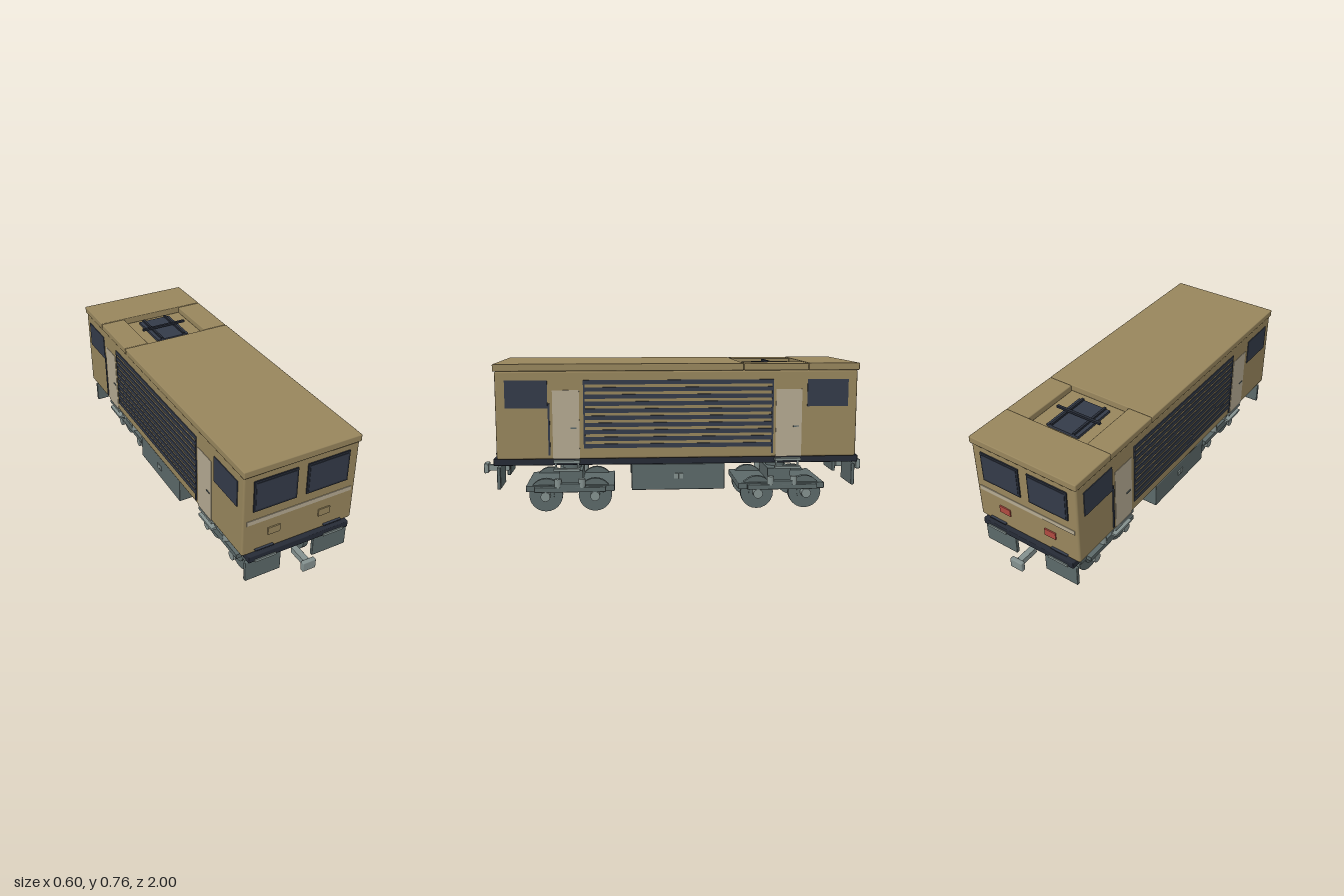
import * as THREE from 'three';
import { RoundedBoxGeometry } from 'three/addons/geometries/RoundedBoxGeometry.js';

const mat = (name, color) => Object.assign(new THREE.MeshStandardMaterial({ color }), { name });

export function createModel() {
  const tan = mat('bodyTan', 0x98865d);
  const cream = mat('doorCream', 0xb5aa92);
  const glass = mat('glassSlate', 0x343b49);
  const dark = mat('frameDark', 0x262b36);
  const steel = mat('steelGrey', 0x5c6969);
  const pale = mat('paleSteel', 0x84918f);
  const red = mat('lampRed', 0xb04a40);

  const root = new THREE.Group();
  root.name = 'locomotive';

  // box given by its min and max on each axis, optionally with bevelled edges
  const box = (parent, name, m, [x0, x1], [y0, y1], [z0, z1], bevel = 0) => {
    const s = [x1 - x0, y1 - y0, z1 - z0];
    const geo = bevel ? new RoundedBoxGeometry(...s, 1, bevel) : new THREE.BoxGeometry(...s);
    const mesh = new THREE.Mesh(geo, m);
    mesh.position.set((x0 + x1) / 2, (y0 + y1) / 2, (z0 + z1) / 2);
    mesh.name = name;
    parent.add(mesh);
    return mesh;
  };
  // cylinder along x or y
  const cyl = (parent, name, m, r, len, axis, x, y, z) => {
    const mesh = new THREE.Mesh(new THREE.CylinderGeometry(r, r, len, 24), m);
    if (axis === 'x') mesh.rotation.z = Math.PI / 2;
    mesh.position.set(x, y, z);
    mesh.name = name;
    parent.add(mesh);
  };
  const group = (name, turn = 0) => {
    const g = new THREE.Group();
    g.name = name;
    g.rotation.y = turn;
    root.add(g);
    return g;
  };

  // body shell, underframe and roof
  box(root, 'body', tan, [-0.295, 0.295], [0.292, 0.725], [-0.892, 0.892], 0.01);
  box(root, 'underframe', dark, [-0.268, 0.268], [0.257, 0.292], [-0.912, 0.912], 0.004);
  box(root, 'mainRoof', tan, [-0.3, 0.3], [0.724, 0.76], [-0.32, 0.9], 0.005);
  box(root, 'rearRoof', tan, [-0.3, 0.3], [0.724, 0.76], [-0.9, -0.645], 0.005);
  for (const s of [-1, 1]) {
    const xs = s > 0 ? [0.168, 0.3] : [-0.3, -0.168];
    box(root, 'recessSideRoof', tan, xs, [0.724, 0.759], [-0.644, -0.322], 0.005);
  }

  // folded current collector in the roof recess
  const collector = group('currentCollector');
  box(collector, 'collectorBase', glass, [-0.09, 0.09], [0.724, 0.738], [-0.61, -0.365]);
  for (const x of [-0.065, 0.065])
    box(collector, 'collectorArm', dark, [x - 0.006, x + 0.006], [0.738, 0.748], [-0.61, -0.365]);
  box(collector, 'collectorHead', dark, [-0.125, 0.125], [0.746, 0.757], [-0.494, -0.48]);

  // the two ends: the front with plain lamps, the back with red lamps
  for (const back of [false, true]) {
    const end = group(back ? 'backEnd' : 'frontEnd', back ? Math.PI : 0);
    box(end, 'stripe', cream, [-0.275, 0.275], [0.46, 0.483], [0.888, 0.895]);
    for (const s of [-1, 1]) {
      const span = (a, b) => (s > 0 ? [a, b] : [-b, -a]);
      box(end, 'windowFrame', dark, span(0.025, 0.245), [0.53, 0.692], [0.889, 0.898]);
      box(end, 'windowGlass', glass, span(0.035, 0.235), [0.541, 0.681], [0.895, 0.9]);
      box(end, 'lamp', back ? red : tan, span(0.102, 0.165), [0.372, 0.41], [0.888, 0.898]);
      box(end, 'handRail', glass, span(0.135, 0.23), [0.308, 0.313], [0.89, 0.905]);
      box(end, 'endStep', pale, span(0.128, 0.238), [0.257, 0.27], [0.89, 0.917]);
      box(end, 'guardPlate', steel, span(0.088, 0.275), [0.14, 0.25], [0.878, 0.896], 0.004);
      box(end, 'guardBracket', steel, span(0.15, 0.21), [0.245, 0.26], [0.878, 0.892]);
    }
    // coupler
    box(end, 'couplerShaft', pale, [-0.016, 0.016], [0.185, 0.216], [0.87, 0.98], 0.003);
    box(end, 'couplerHead', pale, [-0.035, 0.035], [0.175, 0.226], [0.976, 1], 0.005);
  }

  // the two sides, alike when turned half round
  for (const turn of [0, Math.PI]) {
    const side = group(turn ? 'rightSide' : 'leftSide', turn);
    for (const z of [-0.845, 0.64])
      box(side, 'sideWindow', glass, [0.291, 0.299], [0.545, 0.68], [z, z + 0.205]);

    // louvred grille
    for (let i = 0; i < 10; i++) {
      const y = 0.346 + i * 0.0348;
      box(side, 'grilleSlat', glass, [0.291, 0.2995], [y, y + 0.021], [-0.465, 0.465]);
    }
    for (const z of [-0.467, 0.463])
      box(side, 'grillePost', glass, [0.291, 0.299], [0.346, 0.68], [z - 0.004, z + 0.004]);

    // doors with handles, rails and steps
    for (const z of [0.552, -0.549]) {
      box(side, 'door', cream, [0.289, 0.297], [0.294, 0.632], [z - 0.065, z + 0.065]);
      box(side, 'doorHandle', steel, [0.296, 0.3], [0.443, 0.449], [z - 0.052, z - 0.022]);
      box(side, 'doorRail', glass, [0.294, 0.3], [0.312, 0.567], [z + 0.078, z + 0.087]);
      box(side, 'upperStep', pale, [0.25, 0.295], [0.271, 0.284], [z - 0.065, z + 0.065]);
      box(side, 'lowerStep', pale, [0.265, 0.295], [0.231, 0.243], [z - 0.065, z + 0.065]);
      for (const d of [-0.055, 0.055])
        box(side, 'stepHanger', pale, [0.265, 0.271], [0.235, 0.275], [z + d - 0.004, z + d + 0.004]);
    }

    // equipment box below the floor
    box(side, 'equipmentBox', steel, [0.155, 0.272], [0.127, 0.258], [-0.233, 0.233], 0.004);
    for (const z of [-0.012, 0.012])
      box(side, 'equipmentPlate', pale, [0.27, 0.277], [0.184, 0.21], [z - 0.01, z + 0.01]);
  }

  // bogies
  for (const zc of [-0.54, 0.543]) {
    const bogie = group('bogie');
    bogie.position.z = zc;
    box(bogie, 'bogieFrame', steel, [-0.19, 0.19], [0.105, 0.137], [-0.224, 0.224], 0.004);
    box(bogie, 'bolster', steel, [-0.12, 0.12], [0.135, 0.2], [-0.06, 0.06]);
    cyl(bogie, 'pivot', steel, 0.05, 0.07, 'y', 0, 0.225, 0);
    for (const z of [-0.125, 0.125])
      cyl(bogie, 'axle', pale, 0.015, 0.4, 'x', 0, 0.085, z);
    for (const s of [-1, 1]) {
      const xs = s > 0 ? [0.188, 0.22] : [-0.22, -0.188];
      box(bogie, 'sideBeam', steel, xs, [0.108, 0.134], [-0.18, 0.18], 0.003);
      for (const z of [-0.06, 0.06])
        cyl(bogie, 'spring', pale, 0.018, 0.045, 'y', s * 0.203, 0.152, z);
      box(bogie, 'springLink', steel, xs, [0.132, 0.152], [-0.05, 0.05]);
      for (const z of [-0.125, 0.125]) {
        cyl(bogie, 'wheel', steel, 0.085, 0.027, 'x', s * 0.157, 0.085, z);
        cyl(bogie, 'wheelHub', steel, 0.042, 0.008, 'x', s * 0.173, 0.085, z);
        cyl(bogie, 'axleBox', pale, 0.024, 0.04, 'x', s * 0.196, 0.085, z);
      }
    }
  }
  return root;
}
